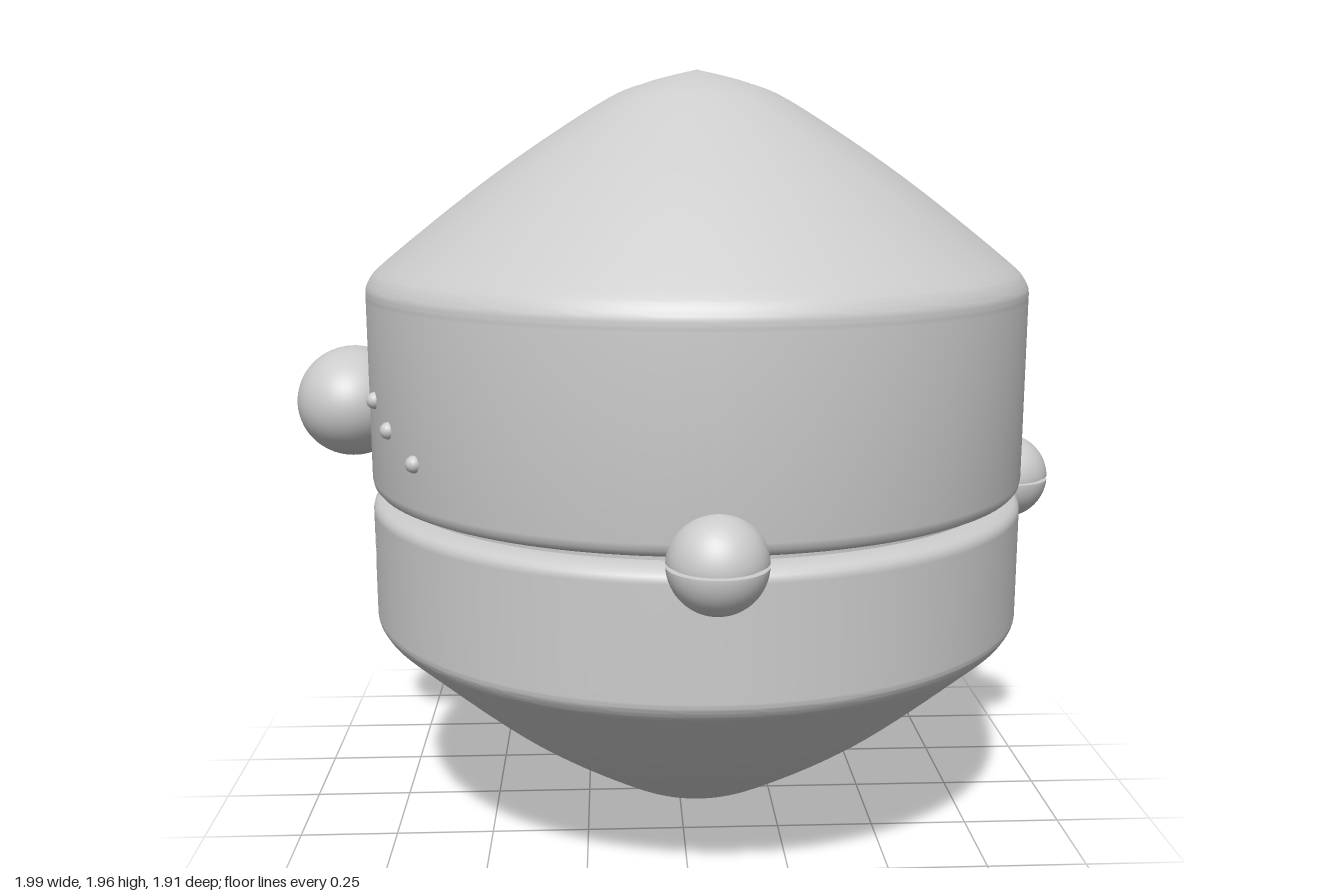
import * as THREE from 'three';
import { mergeVertices, toCreasedNormals } from 'three/addons/utils/BufferGeometryUtils.js';

const CX = 0.045, R = 0.85, SEAM = 0.89;
const material = new THREE.MeshStandardMaterial({ color: 0xcccccc });
const v = (x, y) => new THREE.Vector2(x, y);
const { smoothstep, lerp } = THREE.MathUtils;

function addMesh(parent, name, geometry, x = 0, y = 0, z = 0) {
  const mesh = new THREE.Mesh(geometry, material);
  mesh.name = name;
  mesh.position.set(x, y, z);
  parent.add(mesh);
  return mesh;
}

// Domed cone from the wall (first point) to the tip, as radius and height
function conePoints(points) {
  return new THREE.SplineCurve(points.map(([r, y]) => v(r, y))).getPoints(50);
}

// Depth of the smile groove at arc length s from its middle and height y
function smileDepth(s, y) {
  const q = (s / 0.2) ** 2;
  if (q >= 1) return 0;
  const low = 0.58 + 0.23 * q, high = 0.705 + 0.105 * q;
  const t = (y - low) / (high - low);
  if (t <= 0 || t >= 1) return 0;
  return 0.04 * (1 - q ** 3) * smoothstep(t, 0, 0.65) * (1 - smoothstep(t, 0.9, 1));
}

// Lathe whose columns crowd towards the face side, with the smile pressed in
function smilingLathe(profile) {
  const geometry = new THREE.LatheGeometry(profile, 256);
  const p = geometry.attributes.position;
  for (let i = 0; i < p.count; i++) {
    const x = p.getX(i), z = p.getZ(i), y = p.getY(i);
    const r = Math.hypot(x, z);
    const a = Math.atan2(x, -z);
    const b = a - 0.75 * Math.sin(a);
    const rr = r > 0.7 ? r - smileDepth(R * b, y) : r;
    p.setXYZ(i, -rr * Math.cos(b), y, -rr * Math.sin(b));
  }
  geometry.deleteAttribute('normal');
  geometry.deleteAttribute('uv');
  return toCreasedNormals(mergeVertices(geometry, 1e-5), 0.7);
}

// Ball split around its middle by a thin groove
function splitBall(radius) {
  const profile = [];
  for (let i = 0; i <= 16; i++) {
    const a = -Math.PI / 2 + (i / 16) * (Math.PI / 2 - 0.04);
    profile.push(v(radius * Math.cos(a), radius * Math.sin(a)));
  }
  profile[0].x = 0;
  const upper = profile.map((q) => v(q.x, -q.y)).reverse();
  const notch = [v(radius * 0.88, -0.003), v(radius * 0.88, 0.003)];
  return toCreasedNormals(new THREE.LatheGeometry([...profile, ...notch, ...upper], 40), 0.7);
}

export function createModel() {
  const group = new THREE.Group();

  // Upper shell: rounded lip, straight wall, domed cone
  const upperProfile = [
    v(0, 0.896), v(0.79, 0.896), v(0.82, 0.9), v(0.838, 0.908), v(0.847, 0.919), v(R, 0.935),
    ...conePoints([[R, 1.385], [0.843, 1.43], [0.785, 1.49], [0.52, 1.695], [0.25, 1.872], [0.13, 1.924], [0, 1.957]]),
  ];
  addMesh(group, 'upperShell', toCreasedNormals(new THREE.LatheGeometry(upperProfile, 128), 0.7), CX);

  // Lower shell: domed cone, straight wall, rounded lip
  const wall = [];
  for (let i = 1; i < 50; i++) wall.push(v(R, lerp(0.59, 0.85, i / 50)));
  const lowerProfile = [
    ...conePoints([[R, 0.59], [0.843, 0.55], [0.785, 0.49], [0.52, 0.262], [0.25, 0.085], [0.13, 0.033], [0, 0]]).reverse(),
    ...wall,
    v(R, 0.85), v(0.847, 0.862), v(0.838, 0.871), v(0.82, 0.879), v(0.79, 0.883), v(0, 0.883),
  ];
  addMesh(group, 'lowerShell', smilingLathe(lowerProfile), CX);

  // Core closing the seam between the shells
  addMesh(group, 'seamCore', new THREE.CylinderGeometry(0.79, 0.79, 0.03, 96), CX, SEAM);

  // Knobs along the seam: both sides and the back of the head
  for (const [name, x, z] of [['frontKnob', 0, 0.84], ['rearKnob', 0, -0.84], ['leftKnob', 0.837, 0]]) {
    addMesh(group, name, splitBall(0.113), CX + x, SEAM, z);
  }

  // Nose
  addMesh(group, 'nose', new THREE.SphereGeometry(1, 48, 32), -0.855, 1.11, 0).scale.set(0.145, 0.143, 0.18);

  // Freckles on both cheeks: angle from the nose in degrees, height
  const freckles = [
    [19, 1.155], [27, 1.1], [36.5, 1.043],
    [-19, 1.08], [-19, 0.97], [-25.6, 1.05], [-30, 1.135], [-35.3, 1.03],
  ];
  for (const [degrees, y] of freckles) {
    const a = THREE.MathUtils.degToRad(degrees);
    addMesh(group, 'freckle', new THREE.SphereGeometry(0.021, 16, 12), CX - R * Math.cos(a), y, R * Math.sin(a));
  }
  return group;
}
